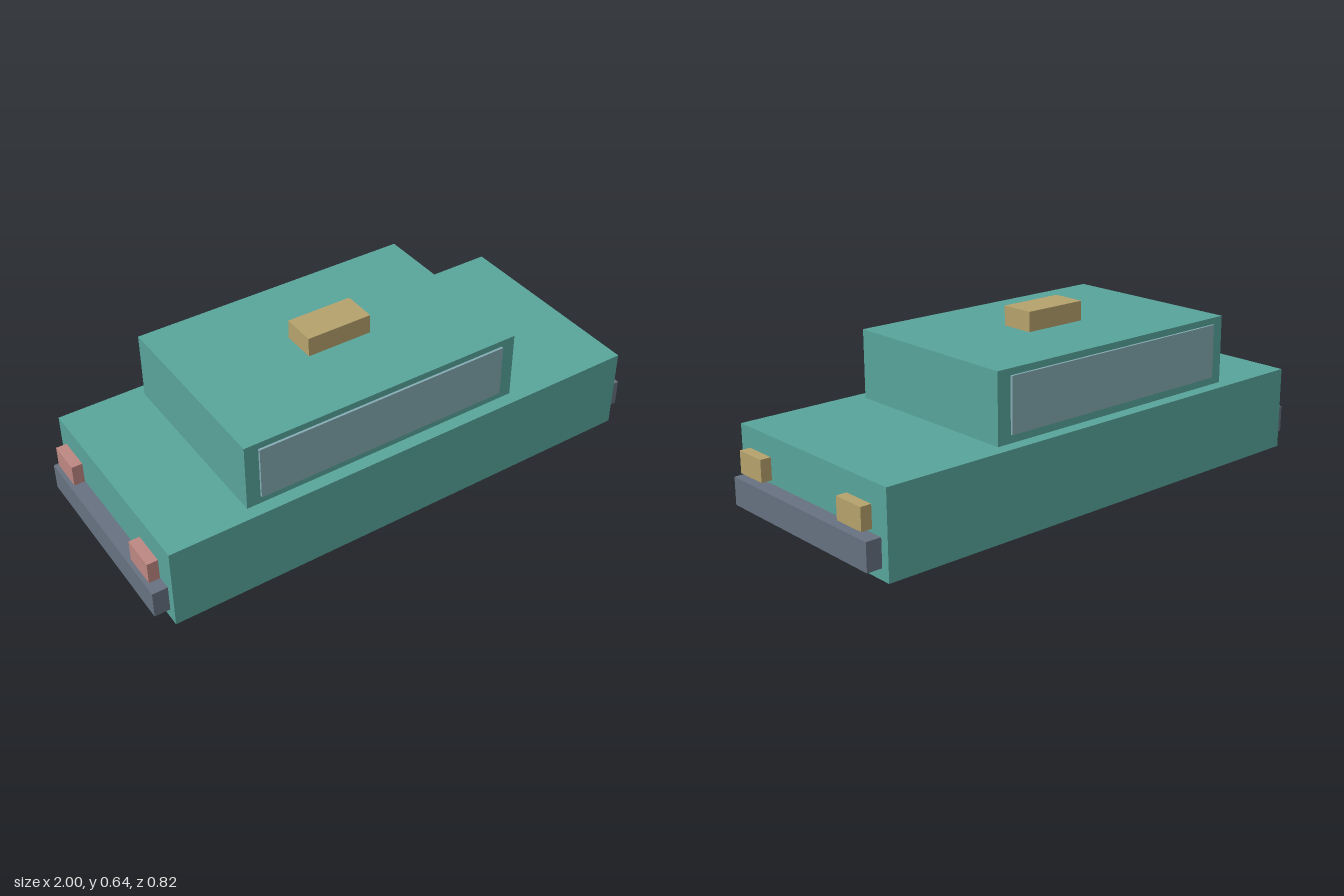
import * as THREE from 'three';

const material = (name, color) => {
  const m = new THREE.MeshStandardMaterial({ color });
  m.name = name;
  return m;
};

export function createModel() {
  const model = new THREE.Group();
  model.name = 'taxi';

  const teal = material('teal paint', 0x58a49b);
  const glass = material('window glass', 0x84abb2);
  const sand = material('sand yellow', 0xb5a26c);
  const slate = material('slate grey', 0x667180);
  const rose = material('tail light red', 0xbd8781);

  // Box given by its lower and upper bounds on each axis
  const box = (name, mat, [x0, x1], [y0, y1], [z0, z1]) => {
    const mesh = new THREE.Mesh(new THREE.BoxGeometry(x1 - x0, y1 - y0, z1 - z0), mat);
    mesh.position.set((x0 + x1) / 2, (y0 + y1) / 2, (z0 + z1) / 2);
    mesh.name = name;
    model.add(mesh);
  };

  // Main volumes
  box('body', teal, [-0.943, 0.943], [0, 0.313], [-0.41, 0.41]);
  box('cabin', teal, [-0.63, 0.461], [0.313, 0.567], [-0.362, 0.362]);
  box('roofSign', sand, [-0.198, 0.055], [0.567, 0.64], [-0.065, 0.065]);

  // Bumpers at both ends
  box('frontBumper', slate, [0.943, 1], [0.041, 0.143], [-0.377, 0.377]);
  box('rearBumper', slate, [-1, -0.943], [0.041, 0.143], [-0.377, 0.377]);

  // Side windows and lamps, mirrored across the long axis
  for (const s of [-1, 1]) {
    const span = (a, b) => (s > 0 ? [a, b] : [-b, -a]);
    box('sideWindow', glass, [-0.578, 0.406], [0.343, 0.543], span(0.362, 0.371));
    box('headlight', sand, [0.952, 0.992], [0.163, 0.244], span(0.216, 0.344));
    box('tailLight', rose, [-0.992, -0.952], [0.163, 0.244], span(0.216, 0.344));
  }

  return model;
}
